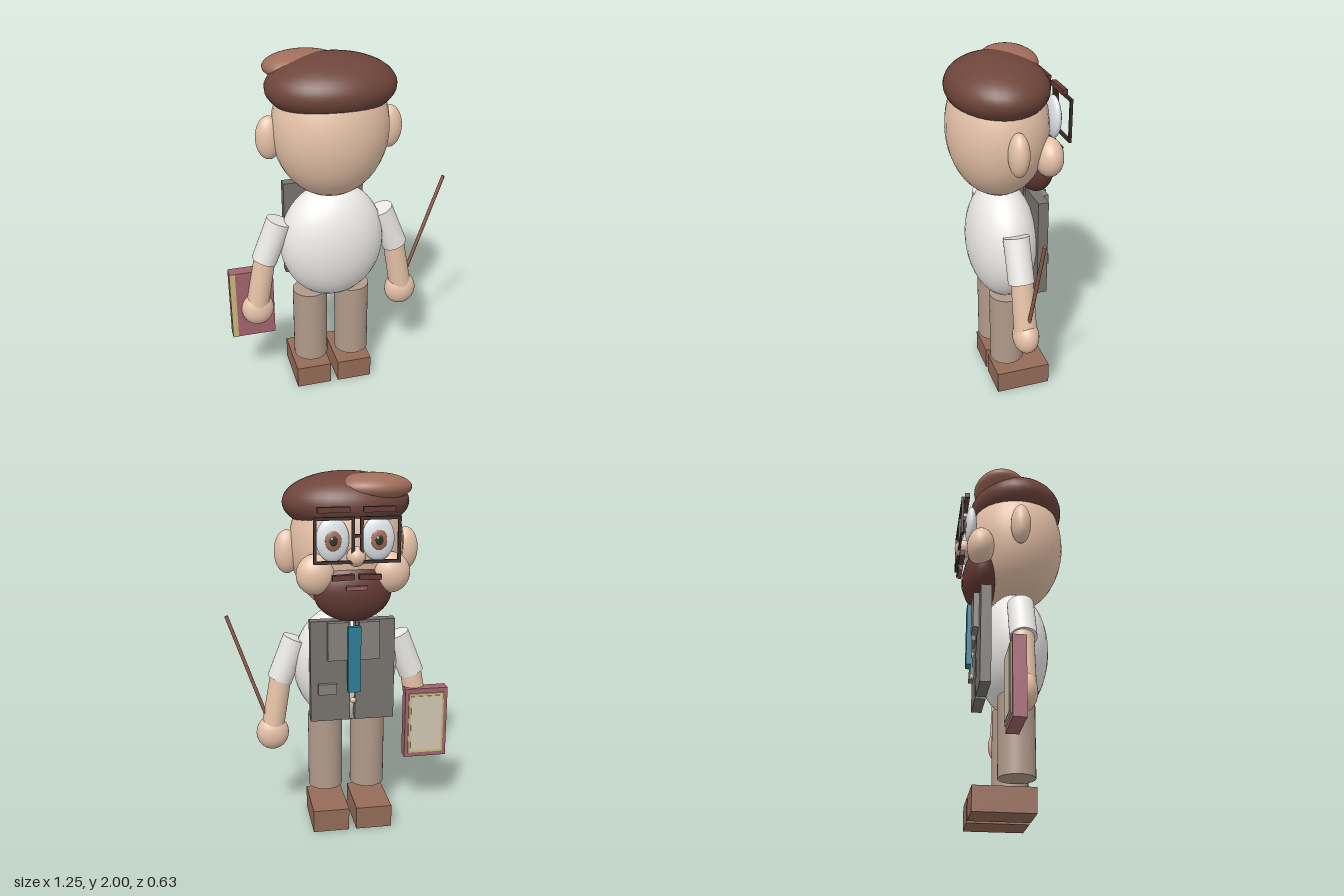
import * as THREE from 'three';

const CX = -0.05; // symmetry axis of the body
const SIDES = [-1, 1];

const mats = {};
const colors = {
  skin: 0xe6c2a8, hat: 0x6e453b, hatTop: 0xa06d5b, beard: 0x643a34, shirt: 0xeceae7,
  trousers: 0xb09a8a, shoe: 0x946b58, jacket: 0x77736e, lapel: 0x85817c, tie: 0x2d7d95,
  button: 0xd8cfa0, eye: 0xdfe6ea, iris: 0xa06a50, pupil: 0x33302c, glint: 0xffffff,
  frame: 0x3f322e, mouth: 0x9c5a60, cover: 0xa2646d, gold: 0xc9b87c, pages: 0xcfc6b2, wand: 0x94604f,
};
function mat(key) {
  return (mats[key] ??= new THREE.MeshStandardMaterial({ color: colors[key] }));
}

export function createModel() {
  const root = new THREE.Group();
  root.name = 'teacherFigure';

  const add = (name, geo, color, pos, parent = root) => {
    const m = new THREE.Mesh(geo, mat(color));
    m.name = name;
    m.position.set(...pos);
    parent.add(m);
    return m;
  };
  const ball = (name, color, pos, r) => {
    const m = add(name, new THREE.SphereGeometry(1, 32, 24), color, pos);
    m.scale.set(...r);
    return m;
  };
  // box given by its min and max on each axis
  const box = (name, color, [x0, x1], [y0, y1], [z0, z1]) =>
    add(name, new THREE.BoxGeometry(x1 - x0, y1 - y0, z1 - z0), color,
      [(x0 + x1) / 2, (y0 + y1) / 2, (z0 + z1) / 2]);
  // box centred on a point, turned about z
  const slab = (name, color, pos, size, turn = 0) => {
    const m = add(name, new THREE.BoxGeometry(...size), color, pos);
    m.rotation.z = turn;
    return m;
  };
  // cylinder between two points
  const rod = (name, color, a, b, rTop, rBottom = rTop, sides = 32) => {
    const A = new THREE.Vector3(...a), B = new THREE.Vector3(...b);
    const dir = B.clone().sub(A);
    const m = add(name, new THREE.CylinderGeometry(rTop, rBottom, dir.length(), sides), color,
      A.clone().add(B).multiplyScalar(0.5).toArray());
    m.quaternion.setFromUnitVectors(new THREE.Vector3(0, 1, 0), dir.negate().normalize());
    return m;
  };

  // torso and head
  ball('torso', 'shirt', [-0.042, 0.935, 0.022], [0.293, 0.343, 0.195]);
  ball('head', 'skin', [CX, 1.61, 0.037], [0.312, 0.38, 0.275]);
  ball('hat', 'hat', [-0.047, 1.835, 0.04], [0.343, 0.16, 0.27]);
  ball('hatCrown', 'hatTop', [-0.17, 1.918, -0.065], [0.21, 0.075, 0.152]);

  // lower face
  ball('beard', 'beard', [CX, 1.39, -0.16], [0.21, 0.165, 0.105]);
  ball('nose', 'skin', [CX, 1.59, -0.262], [0.05, 0.052, 0.052]);
  slab('mouth', 'mouth', [CX, 1.43, -0.28], [0.11, 0.02, 0.02]);

  for (const s of SIDES) {
    const side = s > 0 ? 'left' : 'right';
    const at = (d) => CX + s * d;

    // head details
    ball(side + 'Ear', 'skin', [at(0.325), 1.575, 0.025], [0.07, 0.118, 0.055]);
    ball(side + 'Cheek', 'skin', [at(0.2), 1.487, -0.182], [0.102, 0.108, 0.077]);
    ball(side + 'Eye', 'eye', [at(0.118), 1.675, -0.233], [0.086, 0.115, 0.033]);
    ball(side + 'Iris', 'iris', [at(0.118), 1.672, -0.26], [0.042, 0.053, 0.012]);
    ball(side + 'Pupil', 'pupil', [at(0.118), 1.672, -0.269], [0.021, 0.027, 0.006]);
    ball(side + 'EyeGlint', 'glint', [at(0.118) + 0.009, 1.685, -0.274], [0.006, 0.007, 0.003]);
    slab(side + 'Eyebrow', 'beard', [at(0.117), 1.828, -0.262], [0.165, 0.028, 0.028]);
    slab(side + 'Moustache', 'beard', [at(0.07), 1.487, -0.277], [0.115, 0.028, 0.03], -s * 0.04);

    // spectacle rim: rectangle with a hole
    const w = 0.105, h = 0.118, t = 0.016;
    const rim = new THREE.Shape([[-w, -h], [w, -h], [w, h], [-w, h]].map((p) => new THREE.Vector2(...p)));
    rim.holes.push(new THREE.Path([[-w + t, -h + t], [-w + t, h - t], [w - t, h - t], [w - t, -h + t]]
      .map((p) => new THREE.Vector2(...p))));
    add(side + 'SpectacleRim', new THREE.ExtrudeGeometry(rim, { depth: 0.014, bevelEnabled: false }),
      'frame', [at(0.119), 1.678, -0.297]);

    // sleeve, forearm and hand
    rod(side + 'Sleeve', 'shirt', [at(0.287), 1.09, 0.025], [at(0.379), 0.856, 0.025], 0.071);
    rod(side + 'Forearm', 'skin', [at(0.372), 0.88, 0.02], [at(0.428), 0.56, 0.015], 0.06, 0.064);
    ball(side + 'Hand', 'skin', [at(0.427), 0.54, 0.013], [0.092, 0.1, 0.072]);

    // leg and shoe
    rod(side + 'Leg', 'trousers', [at(0.123), 0.635, 0.025], [at(0.123), 0.195, 0.025], 0.098);
    slab(side + 'Shoe', 'shoe', [at(0.123), 0.065, -0.05], [0.204, 0.13, 0.32]);

    // waistcoat panel and lapel
    slab(side + 'JacketPanel', 'jacket', [at(0.122), 0.95, -0.15], [0.216, 0.566, 0.058]);
    slab(side + 'Lapel', 'lapel', [at(0.085), 1.125, -0.195], [0.11, 0.21, 0.032]);
  }
  slab('spectacleBridge', 'frame', [CX, 1.7, -0.29], [0.04, 0.016, 0.014]);

  // tie, pocket and buttons
  slab('tie', 'tie', [CX, 1.027, -0.22], [0.07, 0.365, 0.03]);
  slab('pocket', 'lapel', [0.09, 0.855, -0.188], [0.1, 0.06, 0.028]);
  for (const y of [0.915, 0.787]) ball('button', 'button', [CX, y, -0.2], [0.016, 0.016, 0.012]);

  // book in the right hand
  box('bookCover', 'cover', [-0.627, -0.38], [0.358, 0.777], [-0.06, 0.007]);
  box('bookSpine', 'gold', [-0.627, -0.595], [0.358, 0.777], [0.006, 0.009]);
  box('bookTrim', 'gold', [-0.605, -0.4], [0.385, 0.75], [-0.068, -0.059]);
  box('bookPanel', 'pages', [-0.592, -0.413], [0.4, 0.735], [-0.072, -0.066]);

  // pointer in the left hand
  rod('pointer', 'wand', [0.613, 1.235, 0.007], [0.415, 0.655, 0.007], 0.01, 0.01, 12);

  return root;
}
